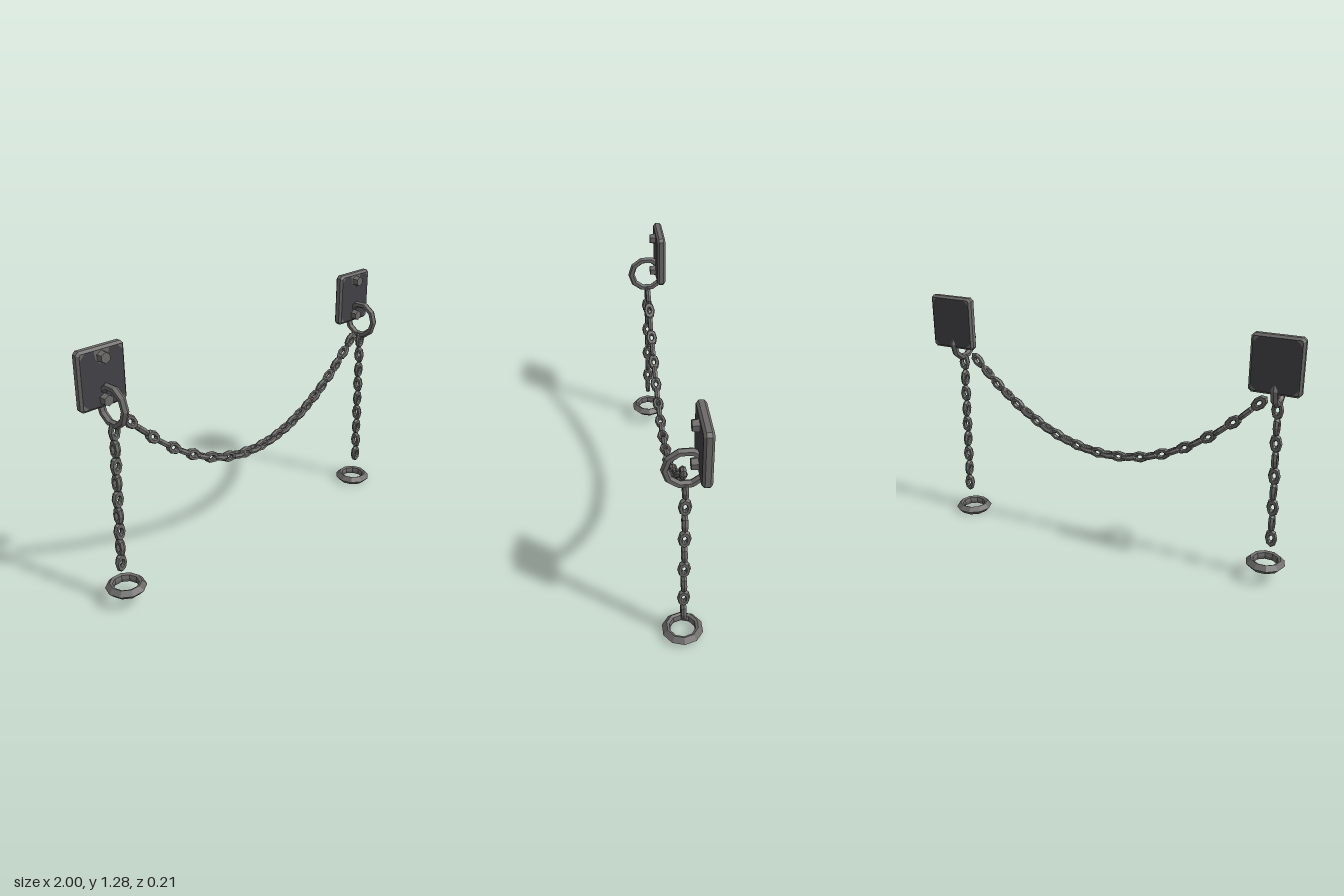
import * as THREE from 'three';

const iron = new THREE.MeshStandardMaterial({ color: 0x6b6a69 });
iron.name = 'worn iron';
const dark = new THREE.MeshStandardMaterial({ color: 0x414146 });
dark.name = 'dark iron';

// Facet a geometry so every face is flat
function faceted(geometry) {
  const g = geometry.index ? geometry.toNonIndexed() : geometry;
  g.computeVertexNormals();
  return g;
}

function add(parent, name, geometry, material, x = 0, y = 0, z = 0) {
  const mesh = new THREE.Mesh(geometry, material);
  mesh.name = name;
  mesh.position.set(x, y, z);
  parent.add(mesh);
  return mesh;
}

function polygon(points) {
  return new THREE.Shape(points.map(([x, y]) => new THREE.Vector2(x, y)));
}

// Shared parts
const linkGeometry = faceted(new THREE.TorusGeometry(0.0195, 0.0115, 6, 8).scale(1, 1.66, 1.25));
const ringGeometry = faceted(new THREE.TorusGeometry(0.088, 0.018, 6, 10).rotateY(Math.PI / 2));
const studGeometry = faceted(new THREE.CylinderGeometry(0.026, 0.03, 0.034, 6).rotateX(Math.PI / 2));
const cuffProfile = [[0.06, 0], [0.064, -0.018], [0.077, -0.024], [0.1, 0], [0.077, 0.024], [0.064, 0.018], [0.06, 0]];
const cuffGeometry = faceted(
  new THREE.LatheGeometry(cuffProfile.map(([r, y]) => new THREE.Vector2(r, y)), 10).rotateY(Math.PI / 2));

// Bevelled plate: dark faces, lighter worn edges
function plateGeometry() {
  const w = 0.113, h = 0.128, c = 0.008;
  const outline = polygon([[-w + c, -h], [w - c, -h], [w, -h + c], [w, h - c],
    [w - c, h], [-w + c, h], [-w, h - c], [-w, -h + c]]);
  return new THREE.ExtrudeGeometry(outline, {
    depth: 0.023, bevelEnabled: true, bevelThickness: 0.011, bevelSize: 0.011, bevelSegments: 1,
  }).translate(0, 0, -0.0115);
}

function wallPlate(side) {
  const group = new THREE.Group();
  group.name = side > 0 ? 'leftWallPlate' : 'rightWallPlate';
  group.position.set(side * 0.875, 1.14, -0.0725);
  add(group, 'plate', plateGeometry(), [dark, iron]);

  // Worn corners on both faces
  const corner = new THREE.ShapeGeometry(polygon([[0, 0], [-0.026, 0], [-0.012, -0.012], [0, -0.026]]));
  for (const face of [0, Math.PI]) {
    const wear = new THREE.Group();
    wear.name = face ? 'backWear' : 'frontWear';
    wear.rotation.y = face;
    for (let i = 0; i < 4; i++) {
      const sx = i % 2 ? 1 : -1, sy = i < 2 ? 1 : -1;
      const patch = add(wear, 'wornCorner', corner, iron, sx * 0.111, sy * 0.126, 0.0235);
      patch.rotation.z = [Math.PI / 2, 0, Math.PI, -Math.PI / 2][i];
    }
    group.add(wear);
  }
  // Worn patch behind the upper stud
  const patch = polygon([[-0.04, 0.127], [-0.032, 0.085], [-0.012, 0.065], [0.012, 0.065], [0.032, 0.085], [0.04, 0.127]]);
  add(group, 'wornPatch', new THREE.ShapeGeometry(patch), iron, 0, 0, 0.0235);

  for (const y of [0.095, -0.1]) add(group, 'stud', studGeometry, iron, 0, y, 0.036);
  return group;
}

// Links along a path; every second one is turned a quarter
function chain(name, count, path) {
  const group = new THREE.Group();
  group.name = name;
  for (let i = 0; i < count; i++) {
    const t = i / (count - 1);
    const p = path(t), d = path(t + 0.01).sub(path(t - 0.01));
    const link = add(group, 'link', linkGeometry, iron, p.x, p.y, 0);
    link.rotation.set(0, i % 2 ? Math.PI / 2 : 0, Math.atan2(-d.x, d.y), 'ZYX');
  }
  return group;
}

export function createModel() {
  const model = new THREE.Group();
  model.name = 'shackles';

  for (const side of [-1, 1]) {
    const label = side > 0 ? 'left' : 'right';
    model.add(wallPlate(side));
    add(model, label + 'Ring', ringGeometry, iron, side * 0.875, 1.02, 0);

    // Hanging chain and its cuff
    const bottom = side > 0 ? 0.17 : 0.232;
    model.add(chain(label + 'HangingChain', 9, t =>
      new THREE.Vector2(side * (0.875 + 0.018 * t), 0.9 + (bottom - 0.9) * t)));
    add(model, label + 'Cuff', cuffGeometry, iron, side * 0.874, side > 0 ? 0.024 : 0.09, 0);
  }

  // Sagging chain between the rings
  model.add(chain('saggingChain', 27, t => {
    const x = (t - 0.5) * 1.572;
    return new THREE.Vector2(x, 0.51 + 0.664 * x * x);
  }));
  return model;
}
